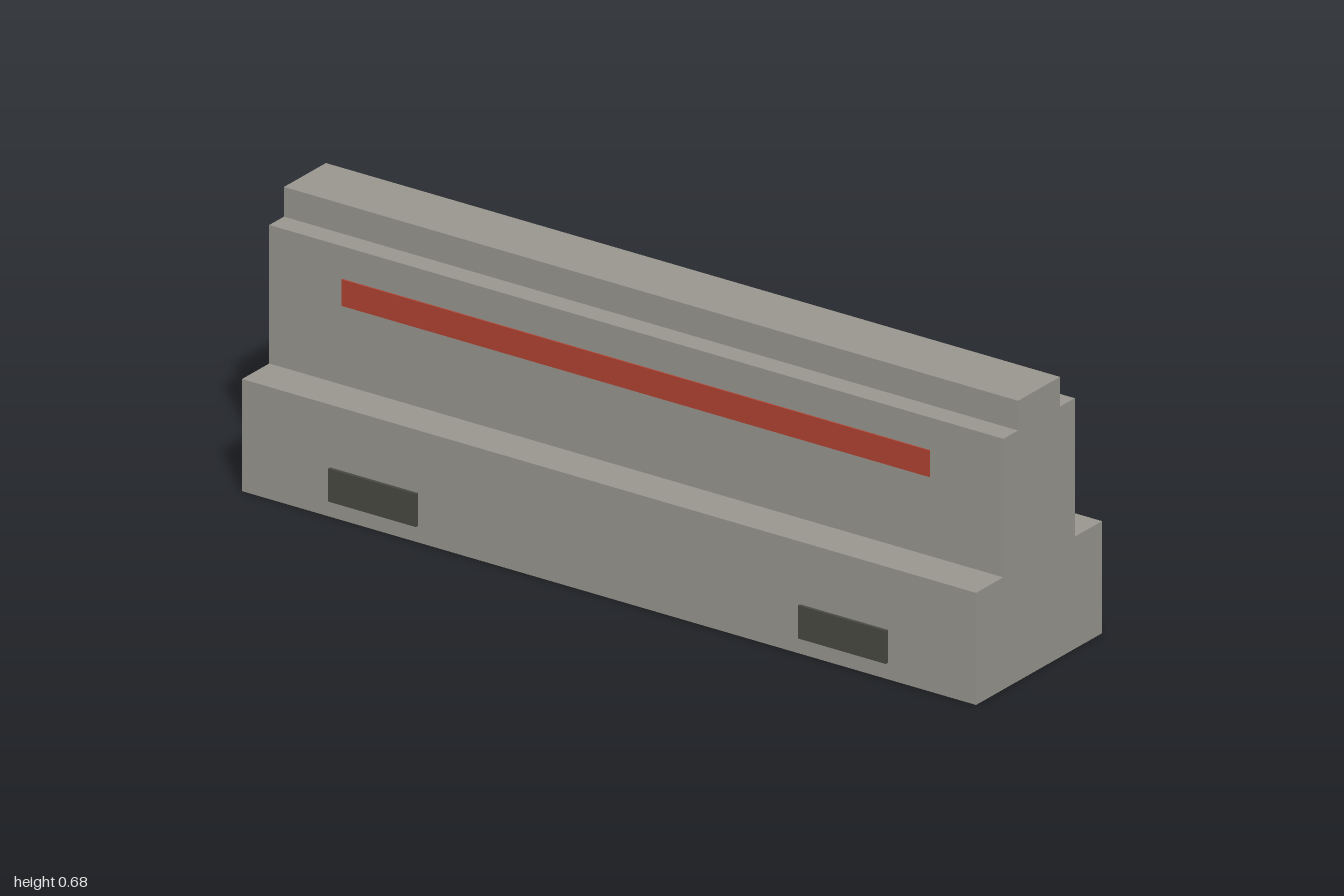
import * as THREE from 'three';

export function createModel() {
  const group = new THREE.Group();
  const material = (name, color) => {
    const m = new THREE.MeshStandardMaterial({ color });
    m.name = name;
    return m;
  };
  const concrete = material('concrete grey', 0x9a9890);
  const red = material('reflector red', 0xb24433);
  const dark = material('slot dark grey', 0x4a4a44);

  // Stepped barrier body: half profile mirrored, extruded along z
  const half = [[0.24, 0], [0.24, 0.272], [0.136, 0.272], [0.136, 0.608], [0.08, 0.608], [0.08, 0.68]];
  const outline = [...half, ...half.map(([x, y]) => [-x, y]).reverse()];
  const shape = new THREE.Shape(outline.map(([x, y]) => new THREE.Vector2(x, y)));
  const bodyGeometry = new THREE.ExtrudeGeometry(shape, { depth: 2, bevelEnabled: false });
  bodyGeometry.translate(0, 0, -1);
  const body = new THREE.Mesh(bodyGeometry, concrete);
  body.name = 'barrierBody';
  group.add(body);

  // Thin plate standing on a side face
  const addPlate = (name, mat, thickness, height, length, x, y, z) => {
    const plate = new THREE.Mesh(new THREE.BoxGeometry(thickness, height, length), mat);
    plate.name = name;
    plate.position.set(x, y, z);
    group.add(plate);
  };

  for (const side of [1, -1]) {
    const label = side > 0 ? 'left' : 'right';
    // Long reflector stripe on the upper wall
    addPlate(`${label}ReflectorStripe`, red, 0.004, 0.064, 1.6, side * 0.138, 0.497, 0);
    // Lifting slots near both ends of the base
    for (const end of [1, -1]) {
      addPlate(`${label}${end > 0 ? 'Front' : 'Back'}LiftingSlot`, dark, 0.008, 0.08, 0.24, side * 0.244, 0.08, end * 0.64);
    }
  }
  return group;
}
